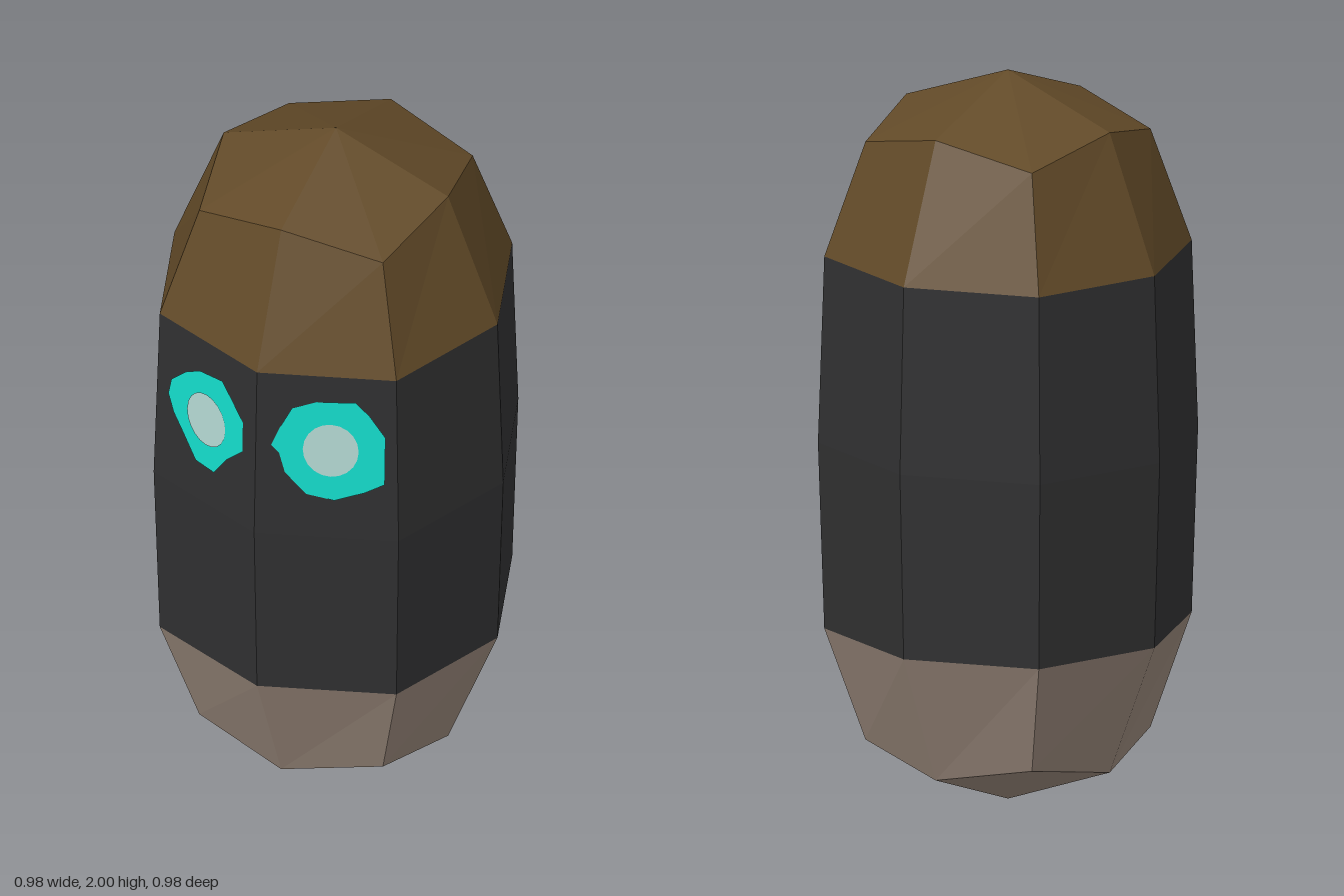
import * as THREE from 'three';

const paint = (name, color) => {
  const m = new THREE.MeshStandardMaterial({ color });
  m.name = name;
  return m;
};

// Eight points around the body, alternating axis points and diagonal points
function ring(axisR, axisY, cornerXZ, cornerY) {
  return Array.from({ length: 8 }, (_, i) => {
    const a = (i * Math.PI) / 4;
    const corner = i % 2 === 1;
    const r = corner ? cornerXZ * Math.SQRT2 : axisR;
    return [Math.sin(a) * r, corner ? cornerY : axisY, Math.cos(a) * r];
  });
}

const quad = (a, b, c, d) => [a, b, c, a, c, d];

// Side faces between a lower and an upper ring
function band(lo, hi) {
  return lo.flatMap((p, i) => {
    const j = (i + 1) % 8;
    return quad(p, lo[j], hi[j], hi[i]);
  });
}

// Four kite faces that close a ring at a pole
function cap(points, y, up) {
  return [0, 2, 4, 6].flatMap((i) => {
    const a = points[i], b = points[i + 1], c = points[(i + 2) % 8];
    return up ? quad([0, y, 0], a, b, c) : quad([0, y, 0], c, b, a);
  });
}

function facetMesh(name, points, material) {
  const geo = new THREE.BufferGeometry();
  geo.setAttribute('position', new THREE.Float32BufferAttribute(points.flat(), 3));
  geo.computeVertexNormals();
  const mesh = new THREE.Mesh(geo, material);
  mesh.name = name;
  return mesh;
}

// Flat shape laid onto the two front faces
function decal(name, outline, offset, material) {
  const shape = new THREE.Shape(outline.map(([x, y]) => new THREE.Vector2(x, y)));
  const geo = new THREE.ShapeGeometry(shape);
  const pos = geo.attributes.position;
  for (let i = 0; i < pos.count; i++) {
    const x = pos.getX(i), y = pos.getY(i);
    pos.setZ(i, 0.49 - 0.36 * Math.abs(x) - 0.03 * (y - 1) + offset);
  }
  geo.computeVertexNormals();
  const mesh = new THREE.Mesh(geo, material);
  mesh.name = name;
  return mesh;
}

const oval = (cx, cy, rx, ry) => Array.from({ length: 20 }, (_, i) => {
  const a = (i * Math.PI) / 10;
  return [cx + rx * Math.cos(a), cy + ry * Math.sin(a)];
});

export function createModel() {
  const brown = paint('brown', 0x624a28);
  const charcoal = paint('charcoal', 0x303031);
  const taupe = paint('taupe', 0x968578);
  const teal = paint('teal', 0x14dccb);
  const pale = paint('pale', 0xb4d8d2);

  const bottom = ring(0.33, 0.125, 0.27, 0.18);
  const low = ring(0.475, 0.49, 0.348, 0.49);
  const middle = ring(0.492, 1, 0.36, 1);
  const high = ring(0.475, 1.51, 0.348, 1.51);
  const top = ring(0.33, 1.88, 0.27, 1.82);

  const model = new THREE.Group();
  model.name = 'capsuleFigure';

  // Body in three coloured sections
  model.add(
    facetMesh('base', [...cap(bottom, 0, false), ...band(bottom, low)], taupe),
    facetMesh('torso', [...band(low, middle), ...band(middle, high)], charcoal),
    facetMesh('crown', [...band(high, top), ...cap(top, 2, true)], brown),
  );

  // Uneven hand-painted eyes
  const rightEye = [[-0.31, 1.28], [-0.30, 1.33], [-0.25, 1.38], [-0.20, 1.41], [-0.12, 1.42],
    [-0.09, 1.385], [-0.045, 1.33], [-0.045, 1.235], [-0.10, 1.18], [-0.145, 1.115],
    [-0.21, 1.12], [-0.26, 1.19], [-0.29, 1.23]];
  const leftEye = [[0.04, 1.285], [0.06, 1.34], [0.09, 1.405], [0.15, 1.43], [0.25, 1.435],
    [0.285, 1.395], [0.325, 1.33], [0.325, 1.18], [0.275, 1.15], [0.20, 1.12],
    [0.13, 1.135], [0.075, 1.20], [0.06, 1.26]];
  model.add(
    decal('rightEye', rightEye.reverse(), 0.004, teal),
    decal('leftEye', leftEye.reverse(), 0.004, teal),
    decal('rightPupil', oval(-0.173, 1.27, 0.068, 0.08), 0.007, pale),
    decal('leftPupil', oval(0.19, 1.28, 0.07, 0.083), 0.007, pale),
  );
  return model;
}
